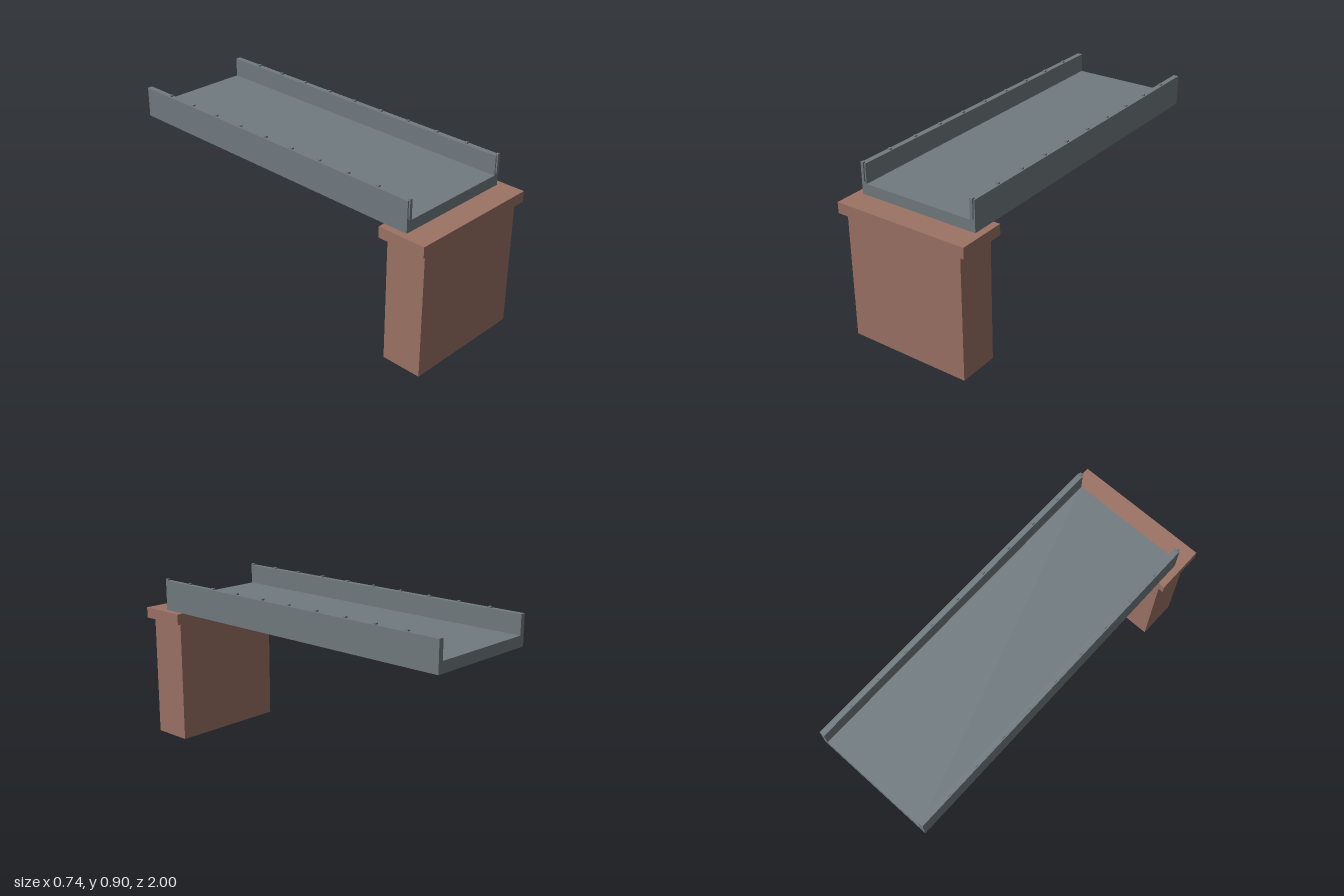
import * as THREE from 'three';

export function createModel() {
  const model = new THREE.Group();
  model.name = 'bridgeSpan';

  const brick = new THREE.MeshStandardMaterial({ name: 'brick', color: 0x9c7365 });
  const steel = new THREE.MeshStandardMaterial({ name: 'greySteel', color: 0x717b80 });

  // Box given by its minimum and maximum corners
  const block = (name, material, [x0, y0, z0], [x1, y1, z1]) => {
    const mesh = new THREE.Mesh(new THREE.BoxGeometry(x1 - x0, y1 - y0, z1 - z0), material);
    mesh.position.set((x0 + x1) / 2, (y0 + y1) / 2, (z0 + z1) / 2);
    mesh.name = name;
    model.add(mesh);
  };

  // Pier and its overhanging cap
  block('pier', brick, [-0.335, 0, 0.758], [0.335, 0.673, 0.978]);
  block('pierCap', brick, [-0.372, 0.673, 0.735], [0.372, 0.731, 1]);

  // Deck and side walls as one U-shaped section, extruded along z
  const deckEnd = 0.868;
  const half = 0.335, inner = 0.306, bottom = 0.731, floor = 0.79, top = 0.895;
  const section = new THREE.Shape([
    [-half, bottom], [half, bottom], [half, top], [inner, top],
    [inner, floor], [-inner, floor], [-inner, top], [-half, top],
  ].map(([x, y]) => new THREE.Vector2(x, y)));
  const deckGeometry = new THREE.ExtrudeGeometry(section, { depth: deckEnd + 1, bevelEnabled: false });
  deckGeometry.translate(0, 0, -1);
  const deck = new THREE.Mesh(deckGeometry, steel);
  deck.name = 'deckAndSideWalls';
  model.add(deck);

  // Posts embedded in both walls, their tips just above the top edge
  const spacing = 0.1867;
  for (const side of [-1, 1]) {
    for (let i = 0; i < 10; i++) {
      const x = side * 0.3205;
      const z = deckEnd - i * spacing;
      block(side > 0 ? 'leftPost' : 'rightPost', steel,
        [x - 0.0075, 0.8, z - 0.0075], [x + 0.0075, 0.903, z + 0.0075]);
    }
  }

  return model;
}
